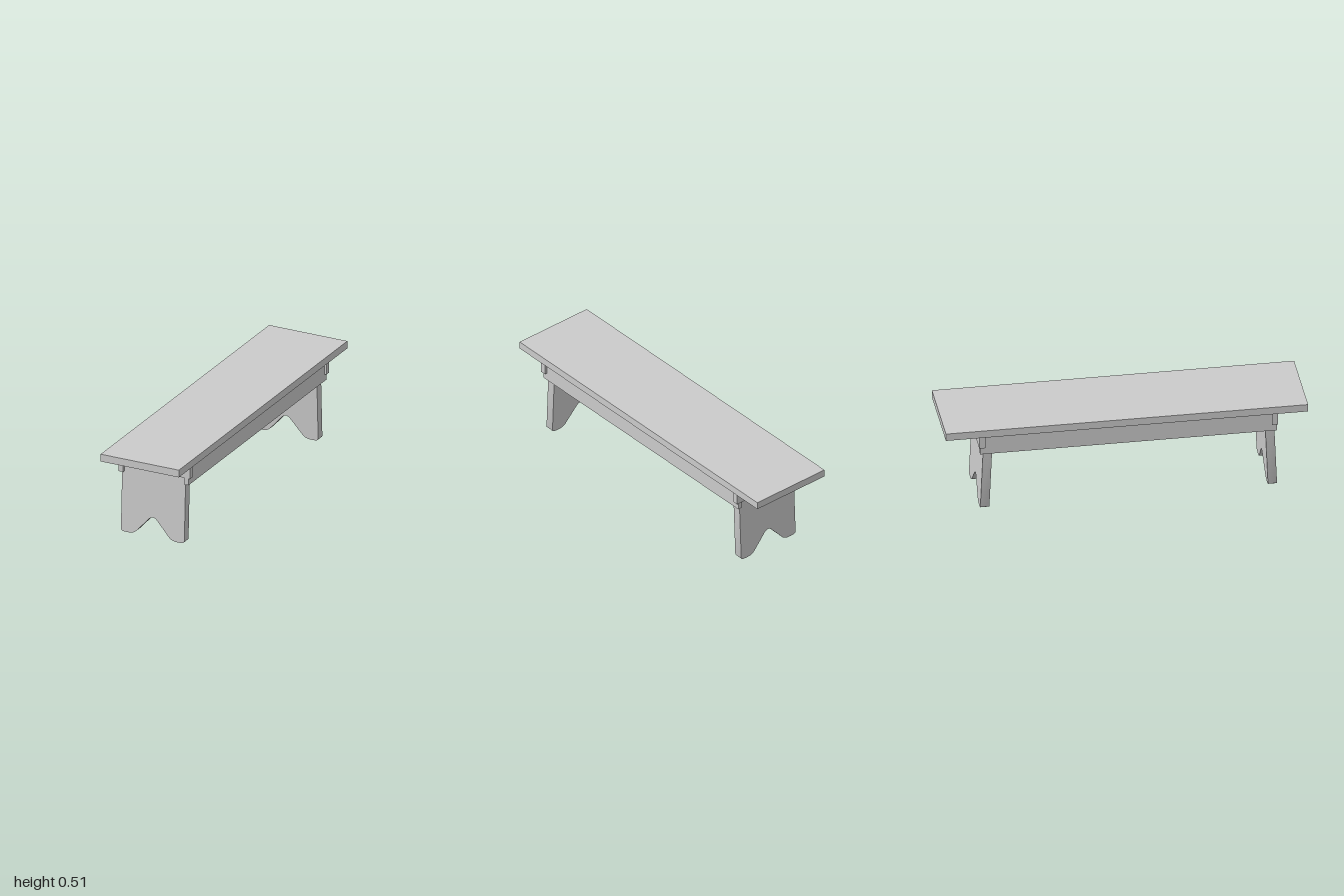
import * as THREE from 'three';
import { toCreasedNormals } from 'three/addons/utils/BufferGeometryUtils.js';

const material = new THREE.MeshStandardMaterial({ color: 0xcccccc });

function add(group, name, geometry) {
  const mesh = new THREE.Mesh(geometry, material);
  mesh.name = name;
  group.add(mesh);
}

// Box given by its extents on each axis
function board(x0, x1, y0, y1, z0, z1) {
  return new THREE.BoxGeometry(x1 - x0, y1 - y0, z1 - z0)
    .translate((x0 + x1) / 2, (y0 + y1) / 2, (z0 + z1) / 2);
}

// Plank leg with two rounded feet and a peaked cut-out, leaning by a shear in z
function legGeometry(z0, lean) {
  const half = 0.1945, top = 0.467, centre = -0.0065;
  const shape = new THREE.Shape();
  shape.moveTo(-half, top);
  shape.lineTo(-half, 0.015);
  shape.quadraticCurveTo(-half, 0.003, -0.178, 0.001);
  shape.lineTo(-0.165, 0);
  shape.lineTo(-0.145, 0);
  shape.quadraticCurveTo(-0.118, 0.001, -0.102, 0.016);
  shape.lineTo(-0.022, 0.105);
  shape.quadraticCurveTo(-0.012, 0.114, 0, 0.1155);
  shape.quadraticCurveTo(0.012, 0.114, 0.022, 0.105);
  shape.lineTo(0.102, 0.016);
  shape.quadraticCurveTo(0.118, 0.001, 0.145, 0);
  shape.lineTo(0.165, 0);
  shape.lineTo(0.178, 0.001);
  shape.quadraticCurveTo(half, 0.003, half, 0.015);
  shape.lineTo(half, top);
  shape.closePath();

  const geometry = new THREE.ExtrudeGeometry(shape, { depth: 0.05, bevelEnabled: false, curveSegments: 5 });
  const shear = new THREE.Matrix4().set(
    1, 0, 0, centre,
    0, 1, 0, 0,
    0, lean, 1, z0,
    0, 0, 0, 1
  );
  geometry.applyMatrix4(shear);
  return toCreasedNormals(geometry, 0.6);
}

export function createModel() {
  const group = new THREE.Group();
  group.name = 'bench';

  add(group, 'seat', board(-0.24, 0.24, 0.467, 0.51, -1, 1));

  // Long side rails under the seat
  add(group, 'leftRail', board(0.185, 0.212, 0.35, 0.467, -0.807, 0.832));
  add(group, 'rightRail', board(-0.216, -0.188, 0.35, 0.467, -0.807, 0.832));

  // Cross battens at the rail ends
  add(group, 'frontBatten', board(-0.225, 0.225, 0.392, 0.467, 0.804, 0.837));
  add(group, 'backBatten', board(-0.225, 0.225, 0.392, 0.467, -0.813, -0.78));

  // Legs splay outward towards the floor
  add(group, 'frontLeg', legGeometry(0.785, -0.043));
  add(group, 'backLeg', legGeometry(-0.804, 0.043));

  return group;
}
